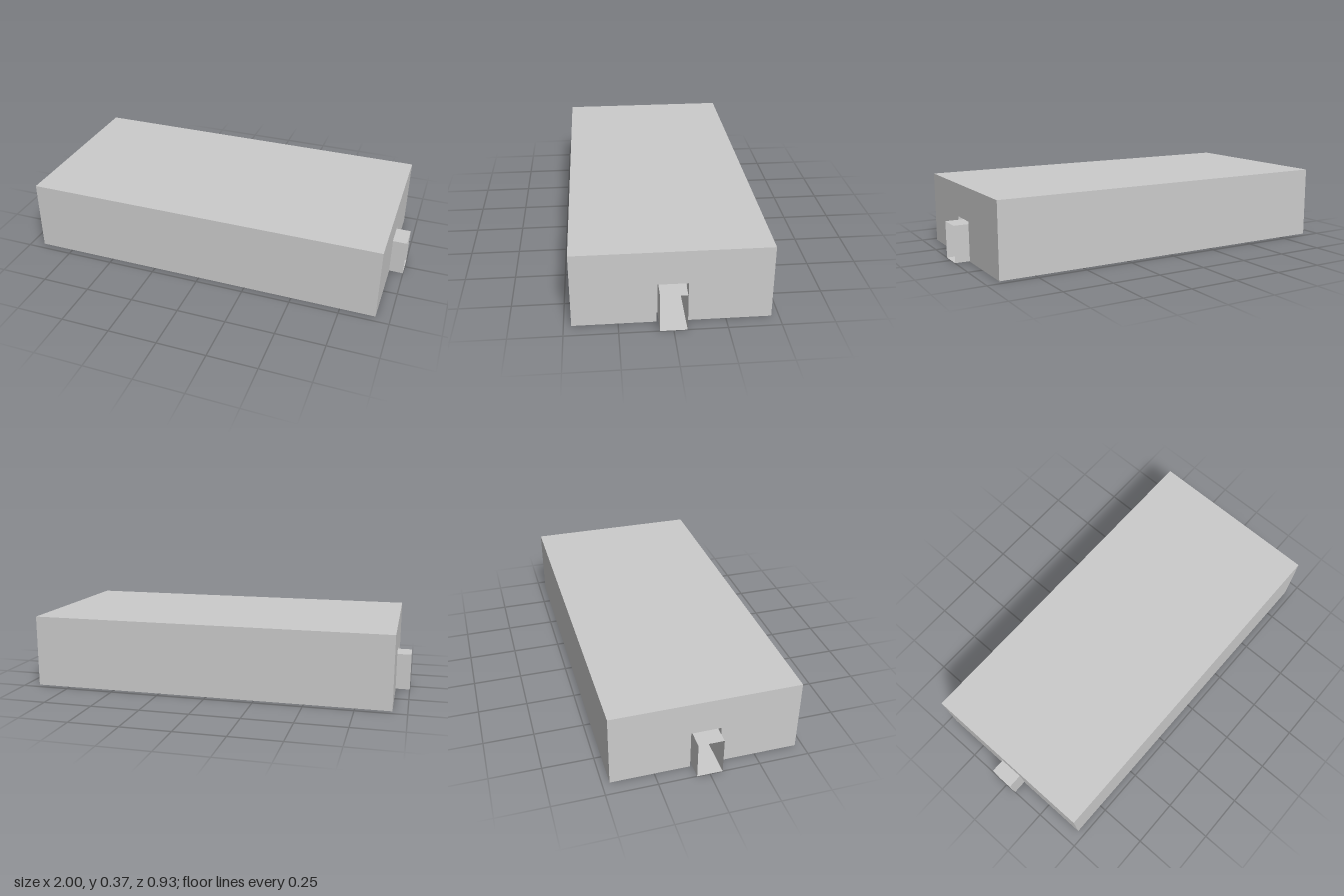
import * as THREE from 'three';

const HALF_X = 0.928, HALF_Z = 0.464, HEIGHT = 0.372;
const RECESS = 0.07;
const SLEEVE_W = 0.126, SLEEVE_H = 0.188;

// Block slice along x with an opening cut up from its bottom edge
function slice(name, halfOpening, openingHeight, x0, x1, material) {
  const s = new THREE.Shape();
  s.moveTo(-HALF_Z, 0);
  s.lineTo(-halfOpening, 0);
  s.lineTo(-halfOpening, openingHeight);
  s.lineTo(halfOpening, openingHeight);
  s.lineTo(halfOpening, 0);
  s.lineTo(HALF_Z, 0);
  s.lineTo(HALF_Z, HEIGHT);
  s.lineTo(-HALF_Z, HEIGHT);
  s.closePath();
  const g = new THREE.ExtrudeGeometry(s, { depth: x1 - x0, bevelEnabled: false });
  g.rotateY(Math.PI / 2);
  g.translate(x0, 0, 0);
  const mesh = new THREE.Mesh(g, material);
  mesh.name = name;
  return mesh;
}

export function createModel() {
  const model = new THREE.Group();
  model.name = 'slottedBlock';
  const solid = new THREE.MeshStandardMaterial({ color: 0xcccccc, flatShading: true });
  const thin = new THREE.MeshStandardMaterial({ color: 0xcccccc, flatShading: true, side: THREE.DoubleSide });

  // Main block with its through tunnel
  const inner = HALF_X - RECESS;
  model.add(slice('blockCore', SLEEVE_W / 2, SLEEVE_H, -inner, inner, solid));

  // Ends with a slightly wider recess around the sleeve
  model.add(slice('leftEnd', 0.074, 0.203, inner, HALF_X, solid));
  model.add(slice('rightEnd', 0.074, 0.203, -HALF_X, -inner, solid));

  // Thin square sleeve, open at both ends, projecting past the block
  const g = new THREE.CylinderGeometry(Math.SQRT1_2, Math.SQRT1_2, 1, 4, 1, true, Math.PI / 4);
  g.rotateZ(Math.PI / 2);
  g.scale(2, SLEEVE_H, SLEEVE_W);
  g.translate(0, SLEEVE_H / 2, 0);
  const sleeve = new THREE.Mesh(g, thin);
  sleeve.name = 'connectorSleeve';
  model.add(sleeve);

  return model;
}
